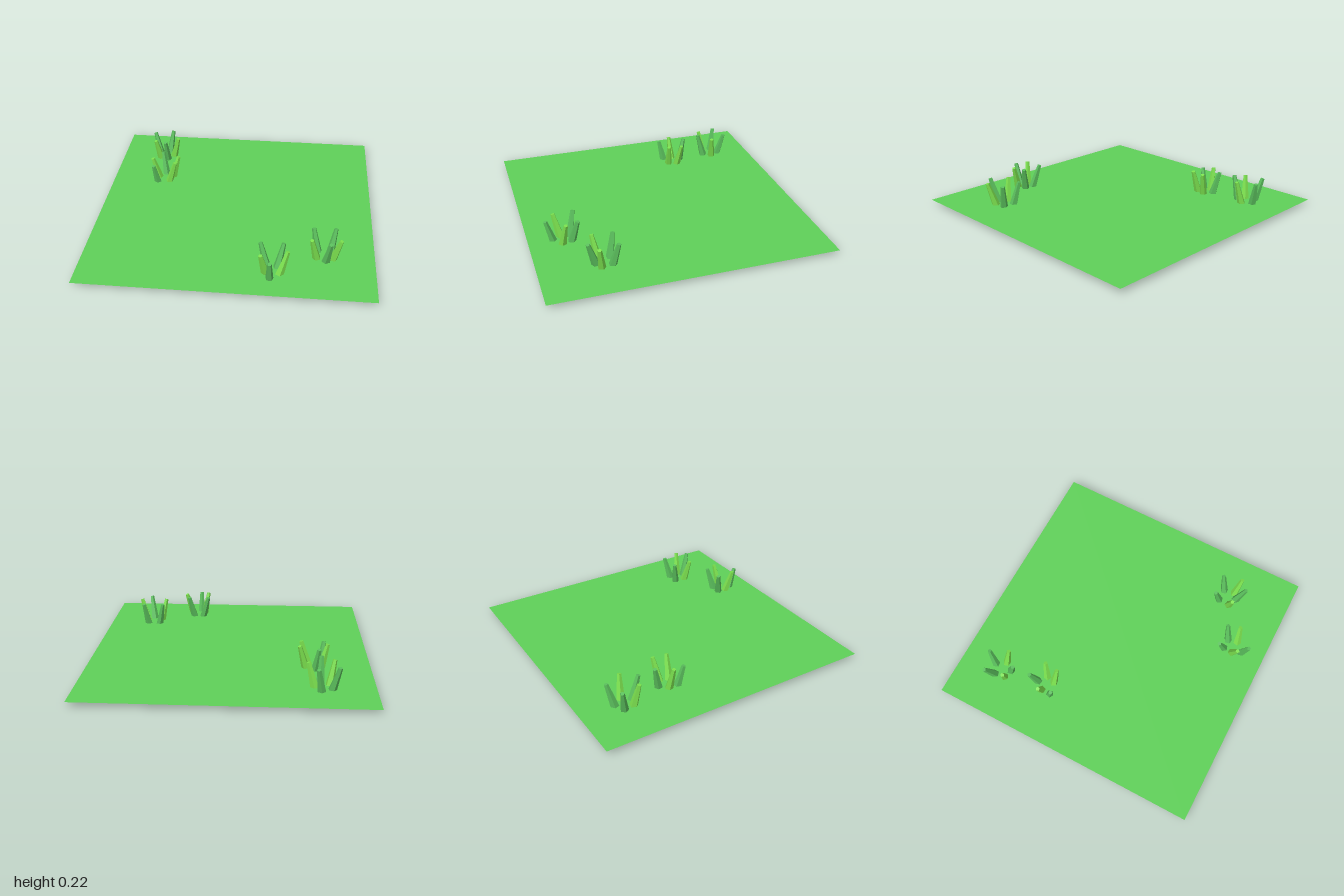
import * as THREE from 'three';

const material = (name, color) => {
  const m = new THREE.MeshStandardMaterial({ color, flatShading: true });
  m.name = name;
  return m;
};

const BASE_R = 0.03, TIP_R = 0.015, HEIGHT = 0.18;

// Per tuft: blades as [inner x, inner z, tip x, tip z, lift, colour (0 green, 1 lime)]
const tufts = [
  [
    [0.297, 0.719, 0.217, 0.66, 0, 0],
    [0.323, 0.725, 0.388, 0.655, 0, 0],
    [0.334, 0.783, 0.42, 0.746, 0, 1],
    [0.297, 0.794, 0.297, 0.882, -0.015, 0],
    [0.286, 0.746, 0.227, 0.815, 0, 1],
  ],
  [
    [0.634, 0.521, 0.57, 0.463, 0, 0],
    [0.682, 0.527, 0.735, 0.457, 0, 0],
    [0.687, 0.57, 0.773, 0.607, 0, 1],
    [0.655, 0.586, 0.698, 0.672, 0.01, 0],
    [0.628, 0.564, 0.559, 0.618, 0, 1],
  ],
  [
    [-0.591, -0.377, -0.634, -0.452, 0, 0],
    [-0.57, -0.345, -0.489, -0.388, 0, 1],
    [-0.591, -0.302, -0.5, -0.281, 0, 1],
    [-0.634, -0.307, -0.677, -0.238, -0.015, 0],
    [-0.623, -0.356, -0.703, -0.334, 0, 1],
  ],
  [
    [-0.682, -0.698, -0.757, -0.757, 0, 0],
    [-0.65, -0.725, -0.602, -0.8, 0, 0],
    [-0.618, -0.693, -0.537, -0.661, 0, 1],
    [-0.628, -0.65, -0.639, -0.564, 0.01, 0],
    [-0.671, -0.661, -0.73, -0.607, 0, 1],
  ],
];

// Five-sided tapered blade leaning outward from its tuft
function makeBlade([ix, iz, tx, tz, lift], mat) {
  const angle = Math.atan2(tz - iz, tx - ix);
  const reach = Math.hypot(tx - ix, tz - iz);
  const near = 0.027, far = reach - 0.01;
  const lean = far - near;
  const mid = (near + far) / 2;
  const geometry = new THREE.CylinderGeometry(
    TIP_R, BASE_R, Math.hypot(HEIGHT, lean), 5, 1, false, -Math.PI / 2);
  const blade = new THREE.Mesh(geometry, mat);
  blade.name = 'grassBlade';
  blade.position.set(ix + Math.cos(angle) * mid, 0.112 + lift, iz + Math.sin(angle) * mid);
  blade.rotation.set(0, -angle, -Math.atan2(lean, HEIGHT));
  return blade;
}

export function createModel() {
  const model = new THREE.Group();
  model.name = 'grassPatch';

  const ground = material('ground green', 0x5fd058);
  ground.side = THREE.DoubleSide;
  const bladeMaterials = [material('blade green', 0x5abe5c), material('blade lime', 0x7be04e)];

  // Flat square lawn, just above the blade roots
  const lawn = new THREE.Mesh(new THREE.PlaneGeometry(2, 2).rotateX(-Math.PI / 2), ground);
  lawn.name = 'lawn';
  lawn.position.y = 0.033;
  model.add(lawn);

  // Grass tufts
  for (const blades of tufts) {
    const tuft = new THREE.Group();
    tuft.name = 'grassTuft';
    for (const b of blades) tuft.add(makeBlade(b, bladeMaterials[b[5]]));
    model.add(tuft);
  }
  return model;
}
